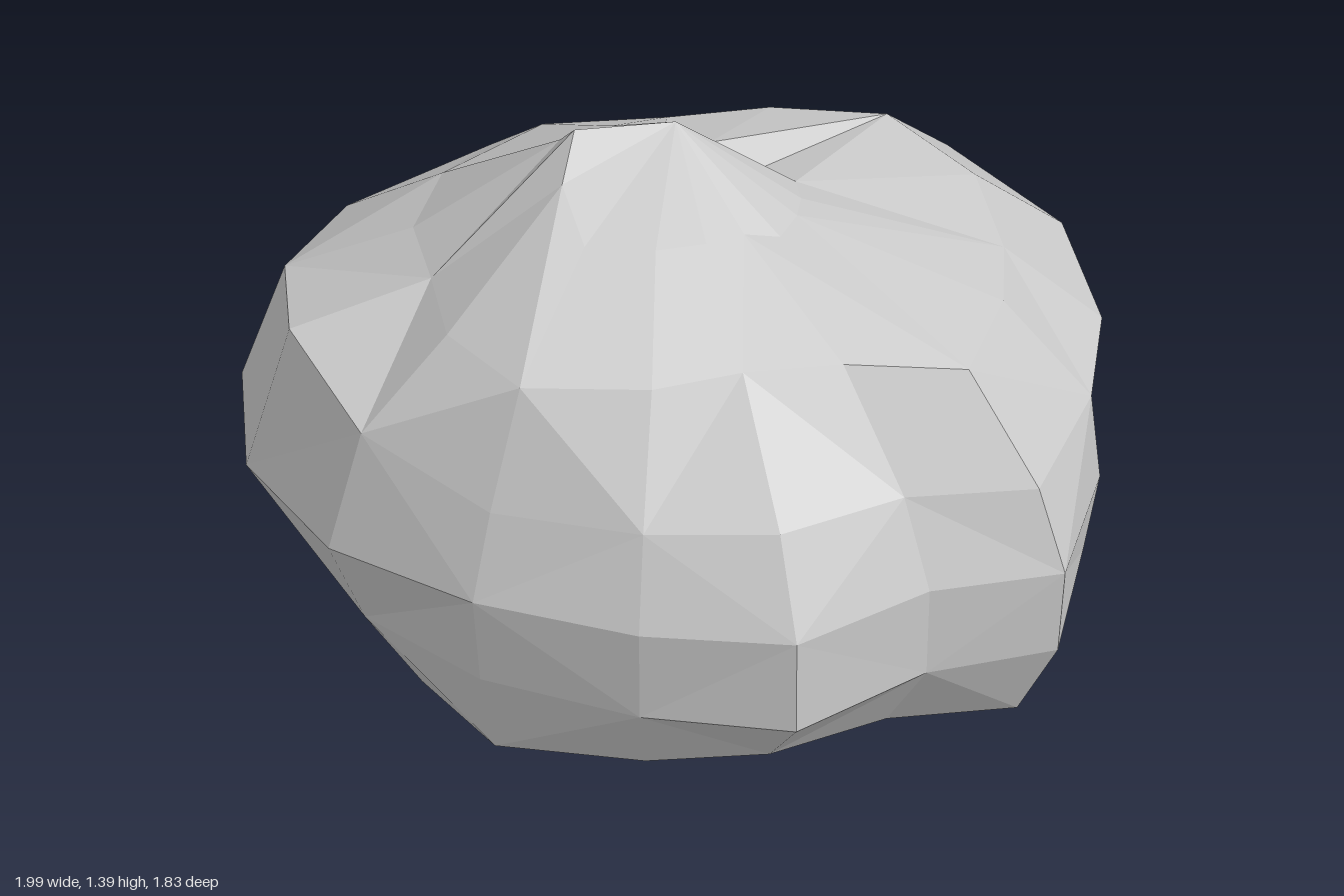
import * as THREE from 'three';

// Directions of the facet columns in degrees, from +x turning towards +z
const ANGLES = [2, 20, 43, 59, 84, 108, 137, 163, 186, 206, 227, 254, 280, 300, 319, 341];
// Dents and bulges of every second column
const BULGE = [0.98, 0.88, 0.95, 1.01, 1.02, 1.03, 0.98, 1.02];

// Cross-sections from base to crown: radii r and heights y spread evenly
// around the columns, z shifts the leaning crown backwards.
const SECTIONS = [
  // underside
  { r: [0.35, 0.5, 0.48, 0.52, 0.22, 0.35, 0.3, 0.25], y: [0.06, 0.05, 0, 0.06] },
  // lower rim, hollowed at the back left
  { r: [0.71, 0.92, 0.7, 0.73, 0.6, 0.74, 0.45, 0.47], y: [0.12, 0.13, 0.08, 0.11] },
  // lower flank
  { r: [0.91, 1.03, 0.9, 0.79, 0.84, 0.9, 0.74, 0.74], y: [0.33] },
  // waist
  { r: [0.97, 1.05, 0.905, 0.82, 1, 1.03, 0.84, 1], y: [0.53, 0.58, 0.55, 0.58] },
  // shoulder
  { r: [1, 0.98, 0.78, 0.75, 0.9, 0.93, 0.85, 1.04], y: [0.77, 0.77, 0.81, 0.78, 0.93, 0.83, 0.78, 0.79] },
  // upper slope
  { r: [0.77, 0.79, 0.5, 0.63, 0.57, 0.66, 0.62, 0.81], y: [1, 1.08, 1.05, 1.02] },
  // crown
  { r: [0.31, 0.3, 0.28, 0.34, 0.22, 0.29, 0.26, 0.36], y: [1.14, 1.18, 1.24, 1.24, 1.39, 1.21, 1.2, 1.06], z: -0.08 },
];

// Value of a closed list at column i, blended between its entries
function around(list, i) {
  const t = (i / ANGLES.length) * list.length;
  const k = Math.floor(t);
  return THREE.MathUtils.lerp(list[k], list[(k + 1) % list.length], t - k);
}

function ring({ r, y, z = 0 }) {
  return ANGLES.map((degrees, i) => {
    const a = THREE.MathUtils.degToRad(degrees);
    const radius = around(r, i) * (i % 2 ? BULGE[i >> 1] : 1);
    return new THREE.Vector3(Math.cos(a) * radius, around(y, i), Math.sin(a) * radius + z);
  });
}

function createBoulderGeometry() {
  const pole = (x, y, z) => ANGLES.map(() => new THREE.Vector3(x, y, z));
  const rings = [pole(0, 0.05, 0), ...SECTIONS.map(ring), pole(0.02, 1.38, -0.1)];
  const position = [];
  const face = (a, b, c) => {
    if (a.equals(b) || b.equals(c) || c.equals(a)) return;
    for (const p of [a, b, c]) position.push(p.x, p.y, p.z);
  };

  // Skin neighbouring rings, alternating the diagonals for irregular facets
  for (let j = 0; j < rings.length - 1; j++) {
    for (let i = 0; i < ANGLES.length; i++) {
      const n = (i + 1) % ANGLES.length;
      const a = rings[j][i], b = rings[j][n];
      const c = rings[j + 1][i], d = rings[j + 1][n];
      if ((i + j) % 2) {
        face(a, c, b);
        face(b, c, d);
      } else {
        face(a, c, d);
        face(a, d, b);
      }
    }
  }
  const geometry = new THREE.BufferGeometry();
  geometry.setAttribute('position', new THREE.Float32BufferAttribute(position, 3));
  geometry.computeVertexNormals();
  return geometry;
}

export function createModel() {
  const model = new THREE.Group();
  model.name = 'rock';
  const material = new THREE.MeshStandardMaterial({ color: 0xcccccc, flatShading: true });
  const boulder = new THREE.Mesh(createBoulderGeometry(), material);
  boulder.name = 'boulder';
  model.add(boulder);
  return model;
}
